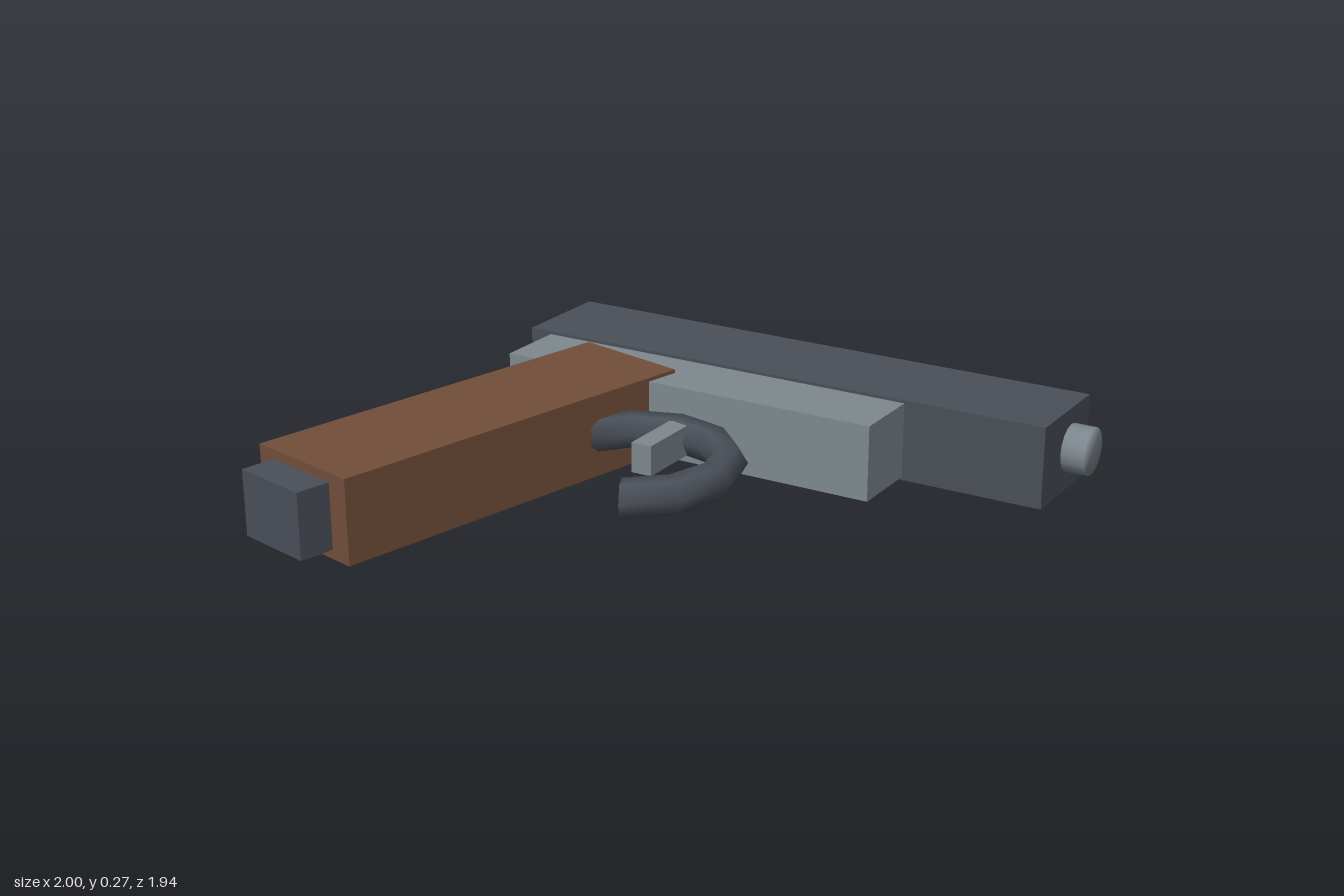
import * as THREE from 'three';
import { mergeVertices } from 'three/addons/utils/BufferGeometryUtils.js';

const material = (name, color, side = THREE.FrontSide) => {
  const m = new THREE.MeshStandardMaterial({ color, side });
  m.name = name;
  return m;
};

export function createModel() {
  const model = new THREE.Group();
  model.name = 'toyPistol';
  const darkSteel = material('darkSteel', 0x4a4f58, THREE.DoubleSide);
  const greySteel = material('greySteel', 0x7e888e);
  const wood = material('wood', 0x724e3a);
  const midY = 0.135;

  const add = (name, geometry, mat, parent = model) => {
    const mesh = new THREE.Mesh(geometry, mat);
    mesh.name = name;
    parent.add(mesh);
    return mesh;
  };

  // Block given by its x and z limits and its thickness about the middle plane
  const block = (name, mat, x0, x1, z0, z1, thickness) => {
    const mesh = add(name, new THREE.BoxGeometry(x1 - x0, thickness, z1 - z0), mat);
    mesh.position.set((x0 + x1) / 2, midY, (z0 + z1) / 2);
  };

  block('slide', darkSteel, -0.955, 0.925, -0.897, -0.545, 0.266);
  block('frame', greySteel, -0.877, 0.455, -0.56, -0.305, 0.246);
  block('frontSight', greySteel, 0.722, 0.806, -0.975, -0.89, 0.09);
  block('trigger', greySteel, -0.192, -0.122, -0.25, 0.018, 0.098);

  // Slanted grip with the magazine base at its end
  const handle = new THREE.Group();
  handle.name = 'handle';
  handle.position.set(-0.6525, midY, 0.1825);
  handle.rotation.y = -0.227;
  model.add(handle);
  add('grip', new THREE.BoxGeometry(0.405, 0.27, 1.33), wood, handle);
  add('magazineBase', new THREE.BoxGeometry(0.262, 0.21, 0.15), darkSteel, handle)
    .position.set(-0.003, 0, 0.703);

  // Six-sided curved trigger guard, lying flat
  const guard = add('triggerGuard', new THREE.TorusGeometry(0.291, 0.061, 6, 7, 3.83), darkSteel);
  guard.rotation.set(-Math.PI / 2, 0, -1.12);
  guard.position.set(-0.168, midY, 0.05);

  // Muzzle with softened shading across its rim
  const barrel = new THREE.CylinderGeometry(0.077, 0.077, 0.12, 16);
  barrel.deleteAttribute('uv');
  barrel.deleteAttribute('normal');
  const smoothBarrel = mergeVertices(barrel);
  smoothBarrel.computeVertexNormals();
  const muzzle = add('muzzle', smoothBarrel, greySteel);
  muzzle.rotation.z = -Math.PI / 2;
  muzzle.position.set(0.94, midY + 0.002, -0.756);

  return model;
}
